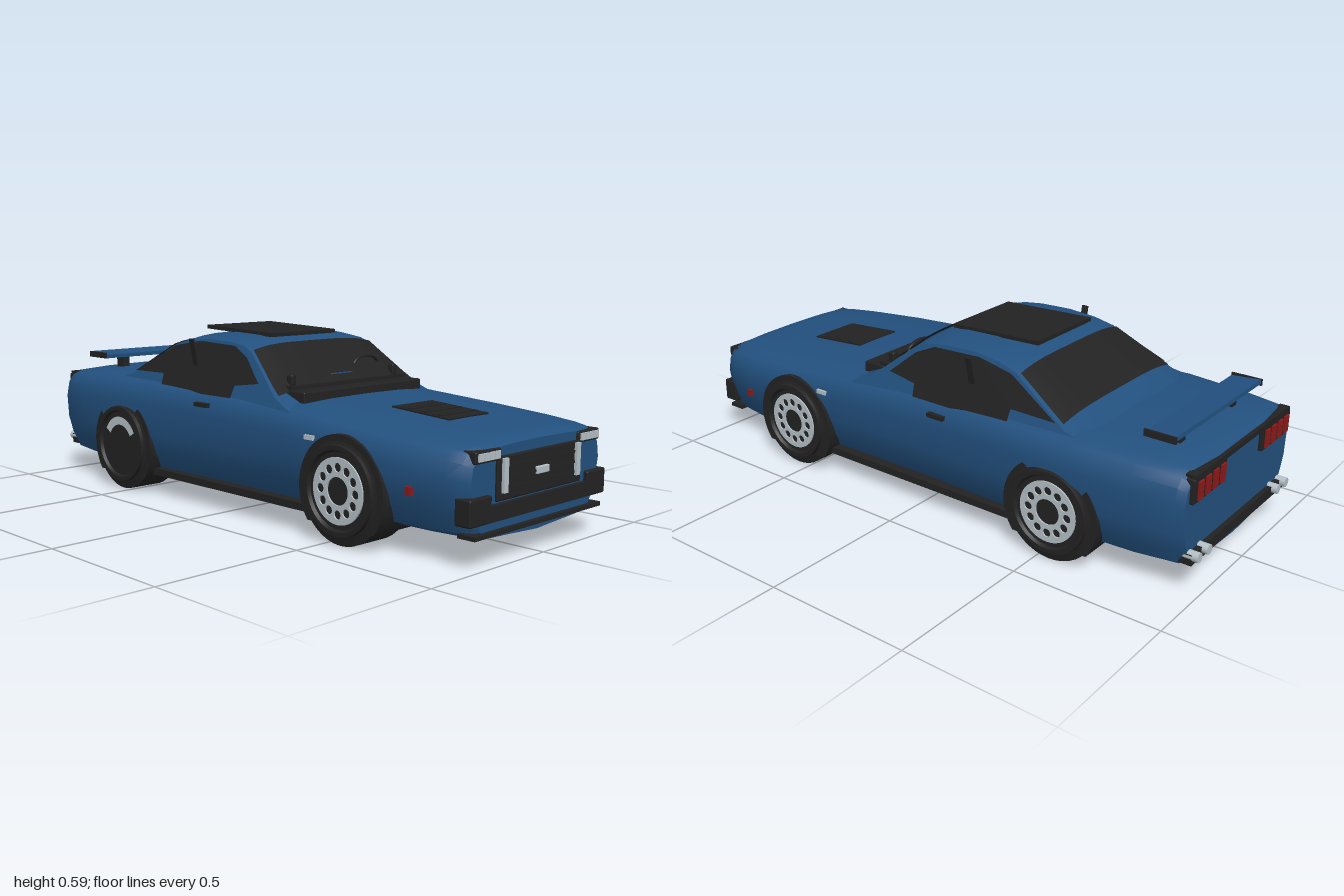
import * as THREE from 'three';
import { toCreasedNormals } from 'three/addons/utils/BufferGeometryUtils.js';
import { RoundedBoxGeometry } from 'three/addons/geometries/RoundedBoxGeometry.js';

const mat = (name, color, extra = {}) => new THREE.MeshStandardMaterial({ name, color, ...extra });

export function createModel() {
  const car = new THREE.Group();
  car.name = 'sportsCar';
  const blue = mat('bluePaint', 0x22507e);
  const black = mat('blackTrim', 0x222222, { side: THREE.DoubleSide });
  const silver = mat('silver', 0xb4c0c6);
  const red = mat('redLens', 0x8e1a1a);

  const add = (name, geo, m, parent = car) => {
    const mesh = new THREE.Mesh(geo, m);
    mesh.name = name;
    parent.add(mesh);
    return mesh;
  };
  // box given by its extents; r rounds the edges
  const box = (name, m, x0, x1, y0, y1, z0, z1, r = 0) => {
    const s = [x1 - x0, y1 - y0, z1 - z0];
    const mesh = add(name, r ? new RoundedBoxGeometry(...s, 2, r) : new THREE.BoxGeometry(...s), m);
    mesh.position.set((x0 + x1) / 2, (y0 + y1) / 2, (z0 + z1) / 2);
    return mesh;
  };
  const pair = (name, m, x0, x1, y0, y1, z0, z1, r) => {
    box(name + 'Left', m, x0, x1, y0, y1, z0, z1, r);
    box(name + 'Right', m, x0, x1, y0, y1, -z1, -z0, r);
  };
  const indexed = (pos, idx) => {
    const g = new THREE.BufferGeometry();
    g.setAttribute('position', new THREE.Float32BufferAttribute(pos, 3));
    g.setIndex(idx);
    g.computeVertexNormals();
    return g;
  };
  // loft of half sections [z, y] (bottom centre to top centre), mirrored and capped
  const loft = (stations, section) => {
    const pos = [], idx = [];
    let n = 0;
    stations.forEach(s => {
      const half = section(s);
      const ring = half.concat(half.slice(1, -1).reverse().map(([z, y]) => [-z, y]));
      n = ring.length;
      ring.forEach(([z, y]) => pos.push(s[0], y, z));
    });
    const last = (stations.length - 1) * n;
    for (let k = 0; k < last; k += n) for (let i = 0; i < n; i++) {
      const a = k + i, b = k + (i + 1) % n;
      idx.push(a, a + n, b + n, a, b + n, b);
    }
    const c = pos.length / 3;
    pos.push(stations[0][0], 0.22, 0, stations.at(-1)[0], 0.22, 0);
    for (let i = 0; i < n; i++) {
      const j = (i + 1) % n;
      idx.push(c, i, j, c + 1, last + j, last + i);
    }
    return toCreasedNormals(indexed(pos, idx), 0.6);
  };

  // lower body: x, half width, top, bottom
  const bodyStations = [
    [-0.965, 0.34, 0.385, 0.075], [-0.94, 0.353, 0.398, 0.062], [-0.8, 0.374, 0.405, 0.058],
    [-0.6, 0.387, 0.412, 0.058], [-0.3, 0.376, 0.41, 0.058], [0, 0.367, 0.402, 0.058],
    [0.3, 0.369, 0.386, 0.058], [0.6, 0.379, 0.364, 0.058], [0.8, 0.368, 0.35, 0.058],
    [0.91, 0.348, 0.342, 0.058], [0.955, 0.332, 0.337, 0.058], [0.975, 0.312, 0.325, 0.065]];
  add('body', loft(bodyStations, ([, w, t, b]) => [
    [0, b], [0.7 * w, b + 0.012], [0.86 * w, b + 0.035], [0.945 * w, b + 0.095], [0.985 * w, 0.21],
    [w, t - 0.09], [0.975 * w, t - 0.045], [0.92 * w, t - 0.02], [0.8 * w, t - 0.004],
    [0.45 * w, t + 0.003], [0, t + 0.005]]), blue);

  // cabin: side planes lean in, roof line follows a profile
  const roofLine = [[-0.66, 0.408], [-0.55, 0.43], [-0.34, 0.55], [-0.27, 0.568], [-0.17, 0.577],
    [-0.05, 0.573], [0.02, 0.563], [0.06, 0.545], [0.22, 0.42], [0.3, 0.385]];
  const sideZ = y => 0.31 - (y - 0.45) * 0.38;
  const roofH = x => {
    const i = Math.max(1, roofLine.findIndex(p => p[0] >= x - 1e-9));
    const [a, b] = [roofLine[i - 1], roofLine[i]];
    return a[1] + (b[1] - a[1]) * (x - a[0]) / (b[0] - a[0]);
  };
  const edgeZ = x => sideZ(roofH(x) - 0.02);
  const topY = (x, f) => roofH(x) - 0.02 * f ** 4;
  add('cabin', loft(roofLine, ([x]) => [
    [0, 0.36], [sideZ(0.36), 0.36],
    ...[1, 0.93, 0.8, 0.6, 0.3, 0].map(f => [f * edgeZ(x), topY(x, f)])]), blue);

  // windscreen and rear window lie just over the cabin
  const screen = (name, x0, x1, nx = 4, nz = 16) => {
    const pos = [], idx = [];
    for (let i = 0; i <= nx; i++) for (let j = 0; j <= nz; j++) {
      const x = x0 + (x1 - x0) * i / nx, f = (j / nz * 2 - 1) * 0.97;
      pos.push(x, topY(x, Math.abs(f)) + 0.007, f * edgeZ(x));
      if (i < nx && j < nz) {
        const a = i * (nz + 1) + j, b = a + nz + 1;
        idx.push(a, a + 1, b + 1, a, b + 1, b);
      }
    }
    add(name, indexed(pos, idx), black);
  };
  screen('windscreen', 0.06, 0.23);
  screen('rearWindow', -0.54, -0.355);

  // side windows, fins, and side details
  const outline = [[-0.52, 0.428], [-0.33, 0.527], [-0.2, 0.549], [-0.02, 0.543], [0.05, 0.512],
    [0.14, 0.435], [0.03, 0.42], [0.025, 0.38], [-0.35, 0.38], [-0.355, 0.43]];
  for (const s of [1, -1]) {
    const g = new THREE.ShapeGeometry(new THREE.Shape(outline.map(p => new THREE.Vector2(...p))));
    const p = g.attributes.position;
    for (let i = 0; i < p.count; i++) p.setZ(i, s * (sideZ(p.getY(i)) + 0.009));
    g.computeVertexNormals();
    add('sideWindow', g, black);
    const fin = box('windowFin', black, -0.205, -0.182, 0.455, 0.56, -0.003, 0.003);
    fin.position.z = s * 0.318;
    fin.rotation.x = s * 0.21;
  }
  pair('doorHandle', black, -0.125, -0.06, 0.342, 0.356, 0.36, 0.377);
  pair('sideMarker', silver, 0.4, 0.44, 0.297, 0.311, 0.36, 0.377);
  pair('redMarker', red, 0.795, 0.815, 0.19, 0.215, 0.355, 0.371);
  pair('sill', black, -0.4, 0.42, 0.068, 0.092, 0.3, 0.352);

  // sunroof, cowl, mirrors, dash panel, steering wheel
  box('sunroof', black, -0.33, 0.01, 0.572, 0.585, -0.15, 0.15).rotation.z = -0.035;
  box('cowl', black, 0.215, 0.3, 0.375, 0.418, -0.277, 0.277, 0.005);
  box('wiperBar', black, 0.185, 0.235, 0.415, 0.43, -0.27, 0.27);
  pair('mirror', black, 0.19, 0.215, 0.428, 0.464, 0.228, 0.25, 0.006);
  box('dashPanel', blue, 0.175, 0.193, 0.435, 0.452, -0.05, 0.05);
  const wheelRim = add('steeringWheel', new THREE.TorusGeometry(0.06, 0.007, 8, 20, Math.PI), black);
  wheelRim.position.set(0.155, 0.465, -0.155);
  wheelRim.rotation.set(0, Math.PI / 2, 0);
  wheelRim.scale.y = 0.5;

  // bonnet vent with louvres
  box('bonnetVent', black, 0.5, 0.725, 0.363, 0.372, -0.095, 0.095).rotation.z = -0.07;
  for (let i = 0; i < 3; i++)
    box('louvre', black, 0.53 + i * 0.06, 0.57 + i * 0.06, 0.372 - i * 0.004, 0.378 - i * 0.004, -0.085, 0.085);

  // nose
  box('grille', black, 0.95, 0.984, 0.175, 0.3, -0.205, 0.205, 0.005);
  for (const y of [0.205, 0.235, 0.265]) box('grilleSlat', black, 0.98, 0.988, y, y + 0.008, -0.165, 0.165);
  pair('grilleBar', silver, 0.975, 0.993, 0.198, 0.295, 0.168, 0.188);
  box('grillePlate', silver, 0.98, 0.992, 0.229, 0.251, -0.03, 0.03, 0.003);
  pair('headlightFrame', black, 0.935, 0.982, 0.29, 0.325, 0.188, 0.302, 0.005);
  for (let i = 0; i < 4; i++)
    pair('headlight', silver, 0.975, 0.987, 0.297, 0.319, 0.199 + i * 0.024, 0.221 + i * 0.024);
  box('frontBumper', black, 0.95, 0.99, 0.124, 0.17, -0.26, 0.26);
  pair('bumperCorner', black, 0.935, 0.99, 0.122, 0.2, 0.235, 0.332, 0.006);
  box('frontLip', black, 0.93, 0.99, 0.084, 0.097, -0.31, 0.31);

  // tail: lights, trim, bumper, exhausts
  box('tailTrim', black, -0.978, -0.945, 0.372, 0.388, -0.31, 0.31);
  pair('tailPanel', black, -0.978, -0.95, 0.3, 0.378, 0.12, 0.318, 0.004);
  for (let i = 0; i < 4; i++)
    pair('tailLight', red, -0.984, -0.975, 0.308, 0.366, 0.135 + i * 0.045, 0.162 + i * 0.045);
  box('rearBumper', black, -0.982, -0.94, 0.105, 0.14, -0.31, 0.31);
  for (const z of [-0.295, -0.235, 0.235, 0.295]) {
    const pipe = add('exhaust', new THREE.CylinderGeometry(0.016, 0.016, 0.06, 16), silver);
    pipe.position.set(-0.97, 0.132, z);
    pipe.rotation.z = Math.PI / 2;
  }

  // spoiler
  box('spoilerBlade', blue, -0.89, -0.79, 0.45, 0.464, -0.275, 0.275).rotation.z = -0.08;
  pair('spoilerEnd', black, -0.892, -0.788, 0.447, 0.468, 0.272, 0.28);
  pair('spoilerPost', black, -0.855, -0.815, 0.395, 0.455, 0.15, 0.18);

  // wheels and full-width wells
  const tyreProfile = [[0, -0.06], [0.15, -0.064], [0.165, -0.06], [0.165, 0.06], [0.152, 0.063],
    [0.137, 0.068], [0.135, 0.08], [0.121, 0.08], [0.115, 0.07], [0, 0.07]].map(p => new THREE.Vector2(...p));
  const tyreGeo = toCreasedNormals(new THREE.LatheGeometry(tyreProfile, 40), 0.5);
  const rimShape = new THREE.Shape().absarc(0, 0, 0.1, 0, Math.PI * 2);
  rimShape.holes.push(new THREE.Path().absarc(0, 0, 0.042, 0, Math.PI * 2, true));
  for (let i = 0; i < 12; i++) {
    const a = i * Math.PI / 6;
    rimShape.holes.push(new THREE.Path().absarc(Math.cos(a) * 0.07, Math.sin(a) * 0.07, 0.0135, 0, Math.PI * 2, true));
  }
  const rimGeo = new THREE.ExtrudeGeometry(rimShape, { depth: 0.005, bevelEnabled: false, curveSegments: 24 });
  const wellShape = new THREE.Shape().absarc(0, 0, 0.17, -0.66, Math.PI + 0.66);
  const wellGeo = new THREE.ExtrudeGeometry(wellShape, { depth: 0.76, bevelEnabled: false, curveSegments: 32 });
  for (const [end, x] of [['rear', -0.54], ['front', 0.555]]) {
    add(end + 'WheelWell', wellGeo, black).position.set(x, 0.16, -0.38);
    for (const s of [1, -1]) {
      const wheel = new THREE.Group();
      wheel.name = end + 'Wheel';
      wheel.position.set(x, 0.165, s * 0.315);
      if (s < 0) wheel.rotation.y = Math.PI;
      add('tyre', tyreGeo, black, wheel).rotation.x = Math.PI / 2;
      if (end === 'rear' && s > 0) {
        // mostly covered rim with a bright upper crescent
        add('rimCrescent', new THREE.RingGeometry(0.068, 0.097, 24, 1, 0.5, Math.PI - 1), silver, wheel).position.z = 0.074;
      } else add('rim', rimGeo, silver, wheel).position.z = 0.07;
      car.add(wheel);
    }
  }
  return car;
}
